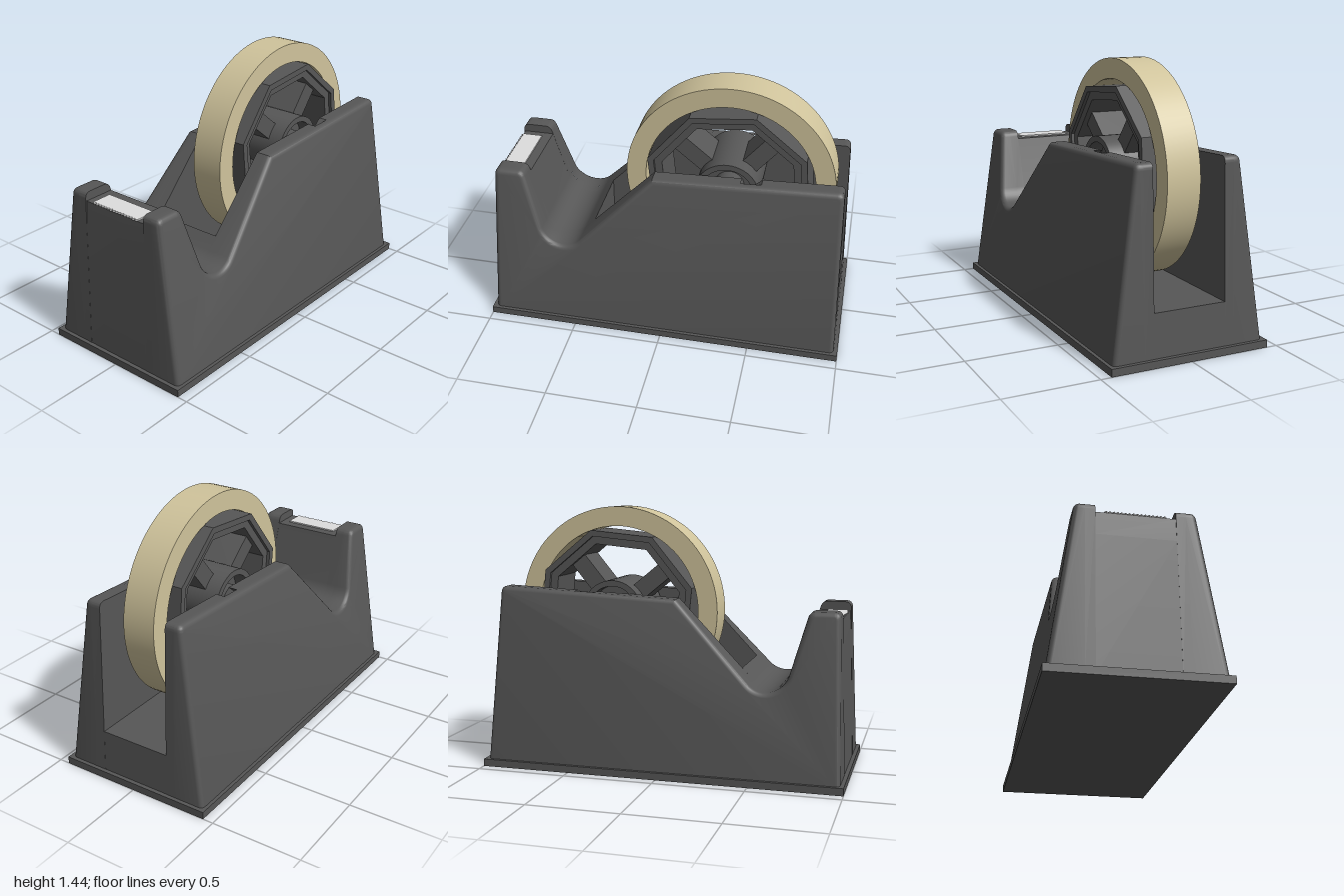
import * as THREE from 'three';
import { toCreasedNormals } from 'three/addons/utils/BufferGeometryUtils.js';

const rad = THREE.MathUtils.degToRad;
const AXLE = { x: 0.32, y: 0.865 };
const SLOT = 0.2;   // half width of the tape well
const LAYER = 0.25; // depth reached by the axle notches

// Half width of the tapering body at a height
const halfWidth = (y) => 0.43 - 0.14 * y;

// Valley between the cutter post and the ramp
const valley = (s) => s.absarc(-0.57, 0.62, 0.13, rad(-43.3), rad(-163), true);

// Side outline of the body, optionally with the slanted axle notch
function sideOutline(notched) {
  const s = new THREE.Shape();
  s.moveTo(-0.98, 0.01);
  s.lineTo(0.98, 0.01);
  s.lineTo(0.943, 0.965);
  s.quadraticCurveTo(0.942, 1.0, 0.907, 0.999);
  if (notched) {
    s.lineTo(0.51, 0.981);
    s.absarc(AXLE.x, AXLE.y, 0.037, rad(-50), rad(-230), true);
    s.lineTo(0.4, 0.976);
  }
  s.lineTo(-0.07, 0.955);
  valley(s);
  s.lineTo(-0.78, 0.882);
  s.quadraticCurveTo(-0.79, 0.915, -0.82, 0.915);
  s.lineTo(-0.916, 0.915);
  s.quadraticCurveTo(-0.95, 0.915, -0.951, 0.88);
  return s;
}

// Move a closed counter-clockwise outline inwards
function inset(pts, d) {
  const n = pts.length;
  const normal = (a, b) => new THREE.Vector2(a.y - b.y, b.x - a.x).normalize();
  return pts.map((p, i) => {
    const n1 = normal(pts[(i + n - 1) % n], p);
    const n2 = normal(p, pts[(i + 1) % n]);
    return n1.clone().add(n2).multiplyScalar(d / (1 + n1.dot(n2))).add(p);
  });
}

// Outer shell of one side: tapered face with a rounded border
function outerWall(side) {
  const pts = sideOutline(false).getPoints(8)
    .filter((p, i, a) => p.distanceTo(a[(i + 1) % a.length]) > 1e-4);
  const n = pts.length, r = 0.025, steps = 4;
  const pos = [], idx = [];
  const tri = (a, b, c) => (side > 0 ? idx.push(a, b, c) : idx.push(a, c, b));
  const addRing = (ring, z) => ring.forEach((p) => pos.push(p.x, p.y, side * z(p.y)));
  addRing(pts, () => LAYER);
  for (let k = 0; k <= steps; k++) {
    const a = (k / steps) * Math.PI / 2;
    addRing(inset(pts, r * (1 - Math.cos(a))), (y) => halfWidth(y) - r * (1 - Math.sin(a)));
  }
  for (let k = 0; k <= steps; k++) {
    for (let i = 0; i < n; i++) {
      const a = k * n + i, b = k * n + (i + 1) % n;
      tri(a, b, b + n);
      tri(a, b + n, a + n);
    }
  }
  const last = (steps + 1) * n;
  THREE.ShapeUtils.triangulateShape(inset(pts, r), [])
    .forEach(([a, b, c]) => tri(last + a, last + b, last + c));
  const g = new THREE.BufferGeometry();
  g.setAttribute('position', new THREE.Float32BufferAttribute(pos, 3));
  g.setIndex(idx);
  return toCreasedNormals(g, 0.5);
}

function extrude(shape, z0, z1) {
  const g = new THREE.ExtrudeGeometry(shape, { depth: z1 - z0, bevelEnabled: false, curveSegments: 12 });
  g.translate(0, 0, z0);
  return toCreasedNormals(g, 0.5);
}

// Ring with a rectangular section, its axis along z
function ring(inner, outer, half, sides) {
  const section = [[inner, -half], [outer, -half], [outer, half], [inner, half], [inner, -half]]
    .map(([x, y]) => new THREE.Vector2(x, y));
  const g = new THREE.LatheGeometry(section, sides);
  g.rotateX(Math.PI / 2);
  return toCreasedNormals(g, 0.5);
}

function disc(radius, half) {
  const g = new THREE.CylinderGeometry(radius, radius, half * 2, 40);
  g.rotateX(Math.PI / 2);
  return g;
}

export function createModel() {
  const plastic = new THREE.MeshStandardMaterial({ name: 'dark grey plastic', color: 0x575757 });
  const tapeColor = new THREE.MeshStandardMaterial({ name: 'cream tape', color: 0xd0c49c });
  const steel = new THREE.MeshStandardMaterial({ name: 'pale steel', color: 0xdedede });

  const model = new THREE.Group();
  model.name = 'tapeDispenser';
  const add = (parent, name, geometry, material = plastic) => {
    const m = new THREE.Mesh(geometry, material);
    m.name = name;
    parent.add(m);
    return m;
  };

  // Foot plate
  add(model, 'basePlate', new THREE.BoxGeometry(2, 0.04, 0.885)).position.y = 0.02;

  // Side walls, notched on the inside to hold the axle
  for (const side of [1, -1]) {
    const label = side > 0 ? 'front' : 'back';
    add(model, label + 'Wall', outerWall(side));
    const [z0, z1] = side > 0 ? [SLOT, LAYER] : [-LAYER, -SLOT];
    add(model, label + 'NotchedLining', extrude(sideOutline(true), z0, z1));
  }

  // Middle of the body: well floor, ramp, valley and recessed cutter post
  const core = new THREE.Shape();
  core.moveTo(-0.979, 0.01);
  core.lineTo(0.979, 0.01);
  core.lineTo(0.969, 0.27);
  core.lineTo(-0.42, 0.27);
  core.lineTo(-0.42, 0.589);
  valley(core);
  core.lineTo(-0.777, 0.868);
  core.lineTo(-0.945, 0.868);
  core.lineTo(-0.955, 0.74);
  add(model, 'bodyCore', extrude(core, -SLOT, SLOT));

  // Toothed cutting blade
  const blade = new THREE.Shape();
  const teeth = 16, half = 0.155;
  blade.moveTo(-0.83, -half);
  blade.lineTo(-0.83, half);
  for (let i = 0; i < teeth; i++) {
    const z = half - (i / teeth) * 2 * half;
    blade.lineTo(-0.938, z);
    blade.lineTo(-0.95, z - half / teeth);
  }
  blade.lineTo(-0.938, -half);
  const bladeGeo = extrude(blade, 0, 0.008);
  bladeGeo.rotateX(-Math.PI / 2);
  add(model, 'cuttingBlade', bladeGeo, steel).position.y = 0.868;

  // Roll of tape on its eight-sided spool
  const roll = new THREE.Group();
  roll.name = 'tapeRoll';
  roll.position.set(AXLE.x, AXLE.y, 0);
  model.add(roll);
  add(roll, 'tape', ring(0.467, 0.575, 0.093, 96), tapeColor);

  const spool = new THREE.Group();
  spool.name = 'spool';
  spool.rotation.z = rad(28);
  roll.add(spool);
  add(spool, 'spoolRim', ring(0.43, 0.465, 0.148, 8));
  add(spool, 'spoolInnerRim', ring(0.385, 0.432, 0.13, 8));
  for (let i = 0; i < 4; i++) {
    const a = rad(22.5 + 90 * i);
    const spoke = add(spool, 'spoke', new THREE.BoxGeometry(0.23, 0.095, 0.2));
    spoke.position.set(0.26 * Math.cos(a), 0.26 * Math.sin(a), 0);
    spoke.rotation.z = a;
  }

  // Hub and axle
  add(roll, 'hub', ring(0.14, 0.172, 0.185, 48));
  add(roll, 'hubWeb', disc(0.145, 0.1));
  add(roll, 'hubBoss', disc(0.08, 0.165));
  add(roll, 'axle', disc(0.035, 0.249));

  return model;
}
